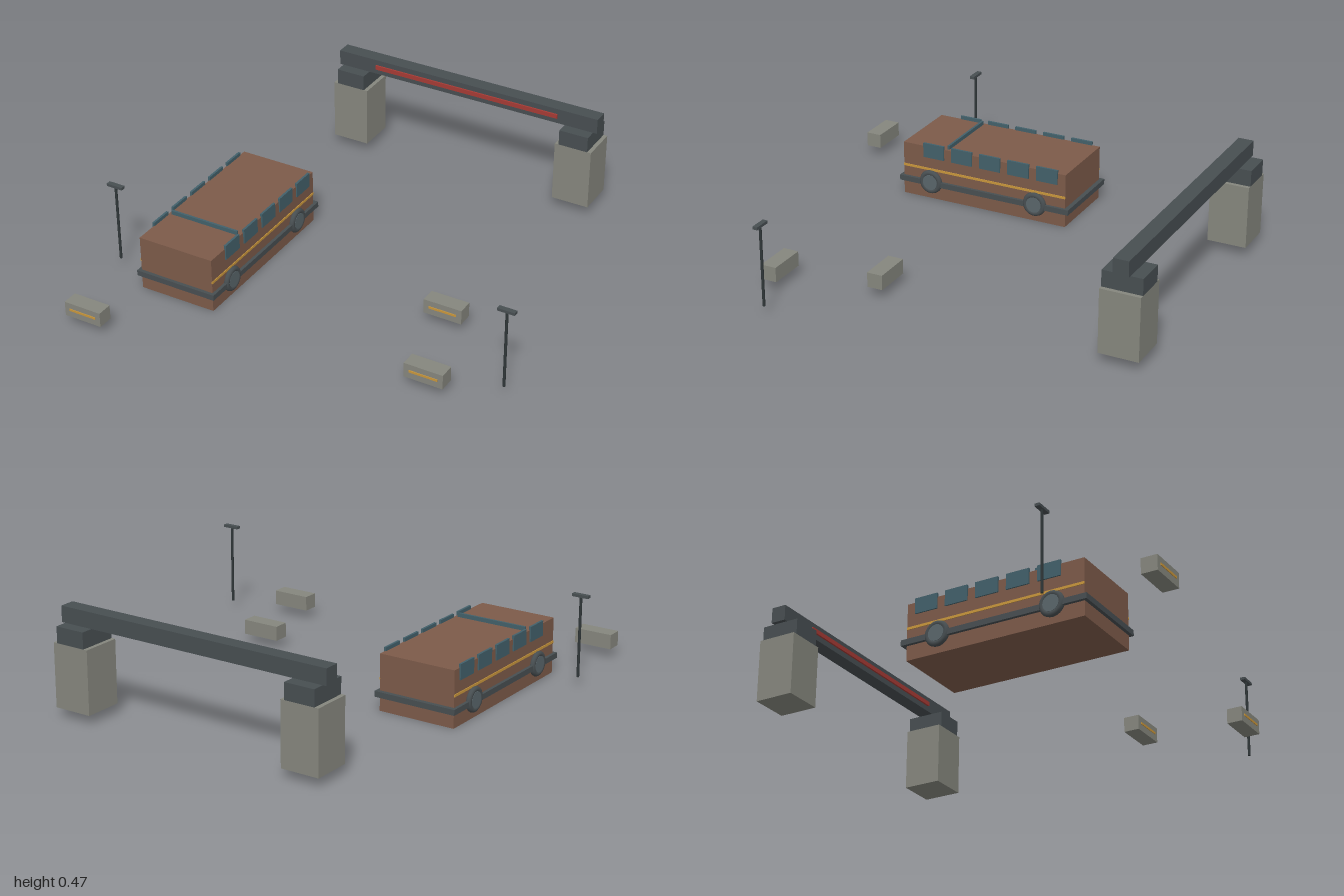
import * as THREE from 'three';

const mat = (color) => new THREE.MeshStandardMaterial({ color });

export function createModel() {
  const model = new THREE.Group();
  const brown = mat(0x7c5a49), dark = mat(0x474e51), teal = mat(0x42606a), concrete = mat(0x85867d);
  const gold = mat(0xc8963c), red = mat(0xa53a34), hubGrey = mat(0x59656a), black = mat(0x2f3638);

  const add = (parent, name, geometry, material, x, y, z) => {
    const mesh = new THREE.Mesh(geometry, material);
    mesh.name = name;
    mesh.position.set(x, y, z);
    parent.add(mesh);
    return mesh;
  };
  // Box given by its extents along each axis
  const box = (parent, name, material, [x0, x1], [y0, y1], [z0, z1]) =>
    add(parent, name, new THREE.BoxGeometry(x1 - x0, y1 - y0, z1 - z0), material,
      (x0 + x1) / 2, (y0 + y1) / 2, (z0 + z1) / 2);
  const group = (name, x = 0, z = 0) => {
    const g = new THREE.Group();
    g.name = name;
    g.position.set(x, 0, z);
    model.add(g);
    return g;
  };

  // Bus: body, bumper belt and front roof divider
  const bus = group('bus', -0.567, 0.218);
  box(bus, 'body', brown, [-0.178, 0.178], [0, 0.25], [-0.405, 0.405]);
  box(bus, 'bumperBelt', dark, [-0.192, 0.192], [0.065, 0.09], [-0.425, 0.42]);
  box(bus, 'windscreen', teal, [-0.165, 0.165], [0.19, 0.268], [0.178, 0.188]);

  for (const side of [-1, 1]) {
    // Side windows
    for (let i = 0; i < 5; i++) {
      const window = new THREE.BoxGeometry(0.01, 0.068, 0.104);
      add(bus, 'sideWindow', window, teal, side * 0.179, 0.232, 0.25 - i * 0.1413);
    }
    // Side stripe
    add(bus, 'sideStripe', new THREE.BoxGeometry(0.006, 0.011, 0.81), gold, side * 0.178, 0.141, 0);
    // Wheels: tyre ring around a hub disc
    for (const z of [0.264, -0.258]) {
      const tyre = add(bus, 'tyre', new THREE.TorusGeometry(0.043, 0.013, 10, 28), dark, side * 0.184, 0.083, z);
      tyre.rotation.y = Math.PI / 2;
      const hub = add(bus, 'hub', new THREE.CylinderGeometry(0.036, 0.036, 0.024, 24), hubGrey, side * 0.184, 0.083, z);
      hub.rotation.z = Math.PI / 2;
    }
  }

  // Gateway: two pillars with caps, a beam and a light strip
  const gate = group('gateway', 0, -0.912);
  for (const side of [-1, 1]) {
    add(gate, 'pillar', new THREE.BoxGeometry(0.175, 0.28, 0.175), concrete, side * 0.565, 0.183, 0);
    add(gate, 'pillarCap', new THREE.BoxGeometry(0.138, 0.072, 0.175), dark, side * 0.565, 0.359, 0);
  }
  box(gate, 'beam', dark, [-0.652, 0.652], [0.395, 0.465], [-0.034, 0.034]);
  box(gate, 'lightStrip', red, [-0.46, 0.46], [0.42, 0.44], [0.03, 0.042]);

  // Road barriers with a stripe on the front
  for (const [x, z] of [[-0.78, 0.962], [0.492, 0.215], [0.632, 0.64]]) {
    const barrier = group('barrier', x, z);
    box(barrier, 'block', concrete, [-0.0875, 0.0875], [0.042, 0.108], [-0.035, 0.035]);
    box(barrier, 'barrierStripe', gold, [-0.064, 0.064], [0.072, 0.082], [0.033, 0.038]);
  }

  // Lamp posts
  for (const x of [-0.918, 0.918]) {
    const lamp = group('lampPost', x, 0.535);
    add(lamp, 'pole', new THREE.CylinderGeometry(0.006, 0.006, 0.36, 12), black, 0, 0.222, 0);
    box(lamp, 'lampHead', dark, [-0.038, 0.038], [0.398, 0.41], [-0.011, 0.011]);
  }

  return model;
}
